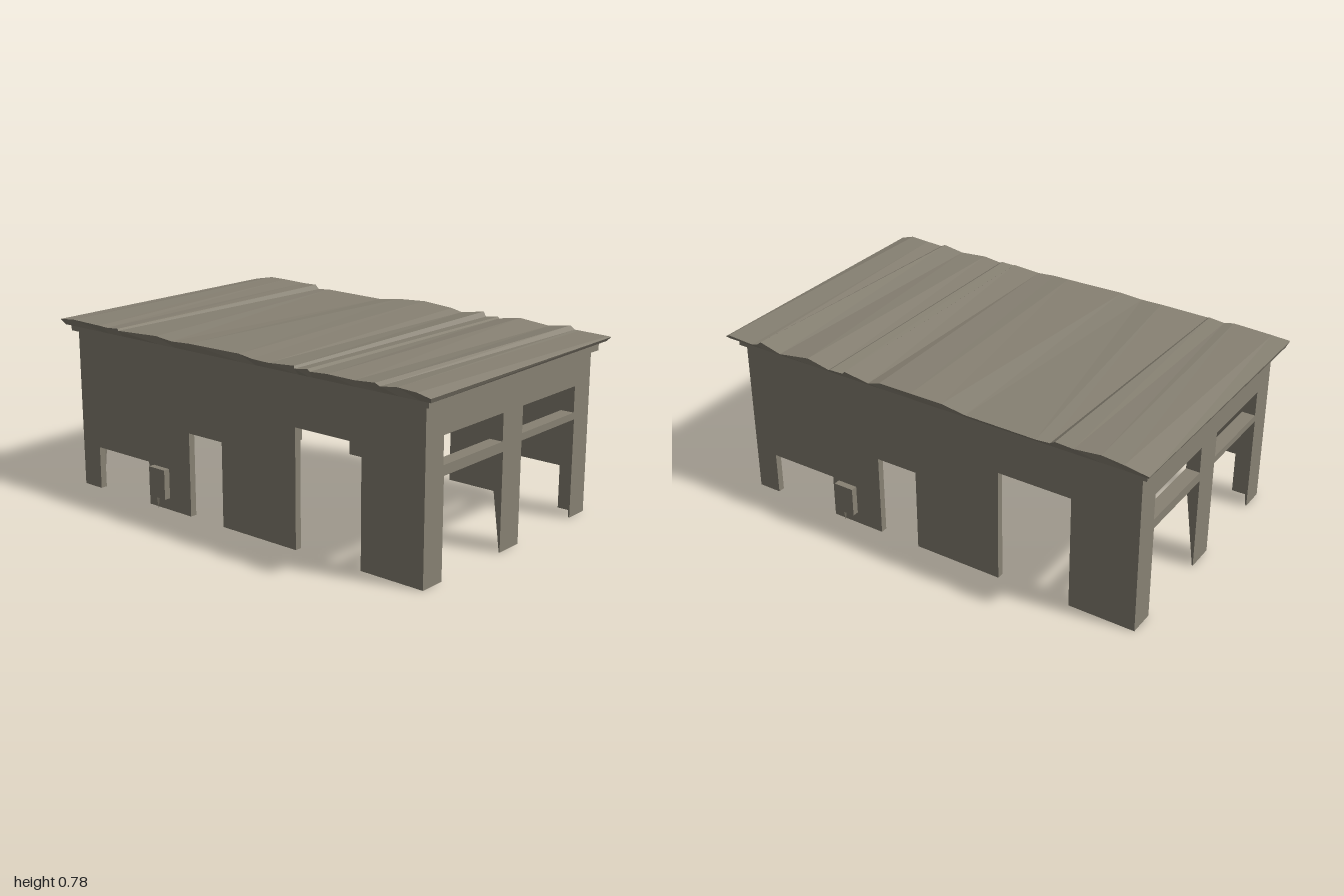
import * as THREE from 'three';

const weathered = new THREE.MeshStandardMaterial({ color: 0x878173, flatShading: true });
weathered.name = 'weatheredConcrete';

const HALF_X = 0.565, HALF_Z = 0.945, EAVE = 0.705;

function add(parent, geometry, name, x = 0, y = 0, z = 0) {
  const mesh = new THREE.Mesh(geometry, weathered);
  mesh.name = name;
  mesh.position.set(x, y, z);
  parent.add(mesh);
  return mesh;
}

function shapeFrom(points) {
  return new THREE.Shape(points.map(([x, y]) => new THREE.Vector2(x, y)));
}

function rectHole(x0, x1, y0, y1) {
  const p = new THREE.Path();
  p.moveTo(x0, y0);
  p.lineTo(x0, y1);
  p.lineTo(x1, y1);
  p.lineTo(x1, y0);
  p.closePath();
  return p;
}

// End wall: two doorways, two windows above, inner face tapering to the ground
function endWallGeometry() {
  const thick = 0.06, taperTop = 0.415;
  const shape = shapeFrom([
    [-HALF_X, 0], [-0.45, 0], [-0.45, 0.415], [-0.065, 0.415], [-0.065, 0],
    [0.063, 0], [0.063, 0.43], [0.455, 0.43], [0.455, 0], [HALF_X, 0],
    [HALF_X, 0.415], [HALF_X, EAVE], [-HALF_X, EAVE], [-HALF_X, 0.415],
  ]);
  shape.holes.push(rectHole(-0.455, -0.07, 0.457, 0.572), rectHole(0.065, 0.45, 0.46, 0.572));
  const geo = new THREE.ExtrudeGeometry(shape, { depth: thick, bevelEnabled: false });
  const pos = geo.attributes.position;
  for (let i = 0; i < pos.count; i++) {
    const t = 0.004 + (thick - 0.004) * Math.min(1, pos.getY(i) / taperTop);
    pos.setZ(i, pos.getZ(i) > thick / 2 ? 0 : -t);
  }
  geo.computeVertexNormals();
  return geo;
}

// Side wall: three openings of rising height; shape x is model -z
function sideWallGeometry() {
  const outline = [[-HALF_Z, 0]];
  for (const [a, b, h] of [[-0.84, -0.52, 0.19], [-0.27, -0.08, 0.365], [0.32, 0.65, 0.505]]) {
    outline.push([a, 0], [a, h], [b, h], [b, 0]);
  }
  outline.push([HALF_Z, 0], [HALF_Z, EAVE], [-HALF_Z, EAVE]);
  const geo = new THREE.ExtrudeGeometry(shapeFrom(outline), { depth: 0.03, bevelEnabled: false });
  geo.rotateY(Math.PI / 2);
  return geo;
}

// Rumpled roof sheet lofted from left and right edge profiles: [zLeft, yLeft, zRight, yRight]
function roofGeometry() {
  const rows = [
    [-1, 0.755, -1, 0.757], [-0.92, 0.762, -0.9, 0.776], [-0.74, 0.763, -0.8, 0.778],
    [-0.7, 0.758, -0.69, 0.772], [-0.63, 0.764, -0.61, 0.774], [-0.62, 0.758, -0.585, 0.757],
    [-0.4, 0.766, -0.53, 0.76], [-0.3, 0.76, -0.21, 0.757], [-0.2, 0.766, -0.1, 0.772],
    [0.07, 0.766, 0.04, 0.778], [0.15, 0.76, 0.2, 0.77], [0.23, 0.756, 0.25, 0.757],
    [0.36, 0.765, 0.365, 0.775], [0.37, 0.757, 0.385, 0.757], [0.425, 0.764, 0.44, 0.762],
    [0.44, 0.756, 0.45, 0.757], [0.53, 0.763, 0.56, 0.775], [0.65, 0.758, 0.7, 0.759],
    [0.755, 0.768, 0.81, 0.778], [0.775, 0.758, 0.83, 0.762], [0.85, 0.766, 0.85, 0.76],
    [0.945, 0.765, 0.99, 0.759], [1, 0.75, 1, 0.755],
  ];
  const verts = [], index = [];
  rows.forEach(([zl, yl, zr, yr], i) => {
    const wob = 0.006 * Math.sin(i * 2.3);
    const end = i === 0 || i === rows.length - 1 ? 0.99 : 1;
    verts.push(
      -0.605, 0.73, zl * end, -0.622 + wob, yl, zl,
      0.62 + wob, yr, zr, 0.605, 0.74, zr * end);
  });
  for (let i = 0; i < rows.length - 1; i++) {
    for (let k = 0; k < 4; k++) {
      const a = i * 4 + k, b = i * 4 + (k + 1) % 4;
      index.push(a, a + 4, b, b, a + 4, b + 4);
    }
  }
  const e = (rows.length - 1) * 4;
  index.push(0, 1, 2, 0, 2, 3, e, e + 2, e + 1, e, e + 3, e + 2);
  const geo = new THREE.BufferGeometry();
  geo.setAttribute('position', new THREE.Float32BufferAttribute(verts, 3));
  geo.setIndex(index);
  const flat = geo.toNonIndexed();
  flat.computeVertexNormals();
  return flat;
}

export function createModel() {
  const model = new THREE.Group();
  model.name = 'openHall';

  // The two halves repeat with a half turn
  const endWall = endWallGeometry(), sideWall = sideWallGeometry();
  const meterBox = new THREE.BoxGeometry(0.03, 0.13, 0.093);
  const spike = new THREE.ConeGeometry(0.01, 0.055, 4);
  spike.rotateX(Math.PI);
  ['front', 'back'].forEach((side, i) => {
    const half = new THREE.Group();
    half.name = side + 'Half';
    half.rotation.y = i * Math.PI;
    half.position.x = -0.005;
    add(half, endWall, 'endWall', 0, 0, HALF_Z);
    add(half, sideWall, 'sideWall', HALF_X - 0.03, 0, 0);
    add(half, meterBox, 'wallBox', HALF_X + 0.014, 0.118, 0.443);
    add(half, spike, 'wallBoxSpike', HALF_X + 0.013, 0.0275, 0.455);
    model.add(half);
  });

  // Ceiling slab forms the eave band under the roof
  add(model, new THREE.BoxGeometry(1.165, 0.042, 1.94), 'eaveBand', -0.006, 0.724, 0);
  add(model, roofGeometry(), 'roof');
  return model;
}
